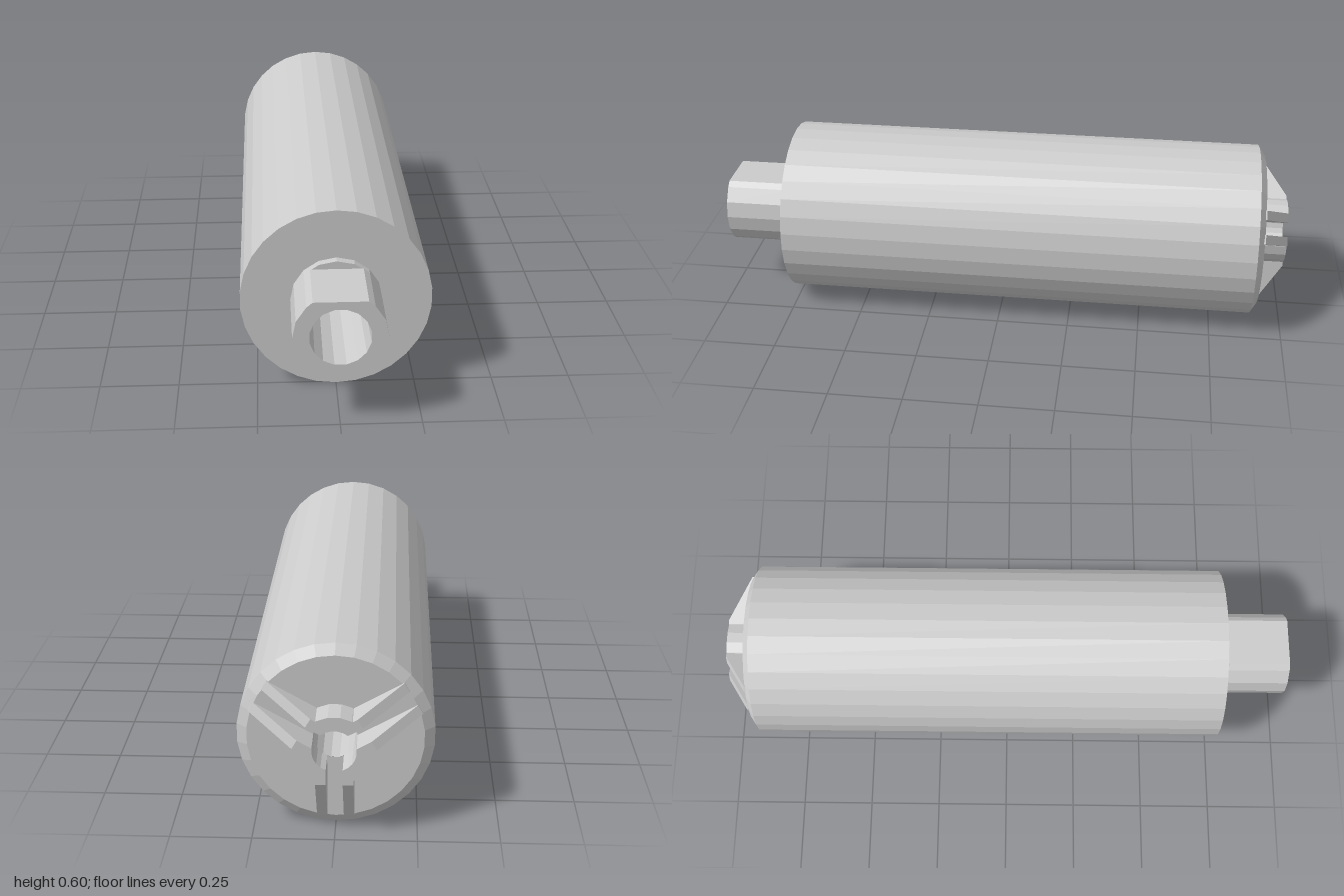
import * as THREE from 'three';

export function createModel() {
  const root = new THREE.Group();
  const axis = new THREE.Group(); // everything is built around the z axis
  axis.position.y = 0.301;
  root.add(axis);
  const mat = new THREE.MeshStandardMaterial({ color: 0xcccccc, flatShading: true });
  const inner = mat.clone();
  inner.side = THREE.DoubleSide;

  const add = (name, geo, material = mat) => {
    const mesh = new THREE.Mesh(geo, material);
    mesh.name = name;
    axis.add(mesh);
    return mesh;
  };
  const ring = (r, n, turn = 0, limit = r) => Array.from({ length: n }, (_, i) => {
    const a = turn + (i / n) * Math.PI * 2;
    return new THREE.Vector2(r * Math.cos(a), THREE.MathUtils.clamp(r * Math.sin(a), -limit, limit));
  });
  const extrude = (shape, z0, z1) =>
    new THREE.ExtrudeGeometry(shape, { depth: z1 - z0, bevelEnabled: false }).translate(0, 0, z0);

  // Cylindrical body with a chamfered back rim
  const profile = [[0.067, -0.91], [0.268, -0.91], [0.3, -0.888], [0.3, 0.757], [0.09, 0.757]]
    .map(([r, z]) => new THREE.Vector2(r, z));
  add('body', new THREE.LatheGeometry(profile, 30).rotateX(Math.PI / 2));

  // Front spigot: round collar, then a length with two flats
  const bore = () => new THREE.Path(ring(0.093, 16, Math.PI / 16));
  const collar = new THREE.Shape(ring(0.143, 16));
  collar.holes.push(bore());
  add('spigotCollar', extrude(collar, 0.755, 0.785));

  // The flats cut the circle at a fixed height, so add the exact cut corners
  const flat = 0.117, cut = Math.asin(flat / 0.143);
  const outline = [];
  for (const base of [0, Math.PI]) {
    for (const a of [-cut, -Math.PI / 4, -Math.PI / 8, 0, Math.PI / 8, Math.PI / 4, cut]) {
      outline.push(new THREE.Vector2(0.143 * Math.cos(base + a), 0.143 * Math.sin(base + a)));
    }
  }
  const spigot = new THREE.Shape(outline);
  spigot.holes.push(bore());
  add('spigotWithFlats', extrude(spigot, 0.785, 1));

  // Tapering through bore
  add('bore', new THREE.CylinderGeometry(0.093, 0.067, 1.91, 16, 1, true)
    .rotateY(Math.PI / 16).rotateX(Math.PI / 2).translate(0, 0, 0.045), inner);

  // Back end: three slotted arms, sloping from a split hub to the rim
  const slot = 0.025, wall = 0.032;
  const armSide = new THREE.Shape([[0.075, 0.9], [0.268, 0.9], [0.268, 0.912], [0.112, 1], [0.075, 1]]
    .map(([r, h]) => new THREE.Vector2(r, h)));
  for (let i = 0; i < 3; i++) {
    const angle = Math.PI / 6 + (i * Math.PI * 2) / 3;
    for (const y of [slot, -slot - wall]) {
      add('armWall', extrude(armSide, 0, wall).rotateX(-Math.PI / 2).translate(0, y, 0)).rotation.z = angle;
    }
    // Hub segment between neighbouring slots
    const arc = (r) => {
      const a0 = Math.asin(slot / r), a1 = Math.PI * 2 / 3 - a0;
      return Array.from({ length: 6 }, (_, k) => {
        const a = a0 + ((a1 - a0) * k) / 5;
        return new THREE.Vector2(r * Math.cos(a), r * Math.sin(a));
      });
    };
    const hub = new THREE.Shape([...arc(0.112), ...arc(0.067).reverse()]);
    add('hubSegment', extrude(hub, -1, -0.9)).rotation.z = angle;
  }
  return root;
}
